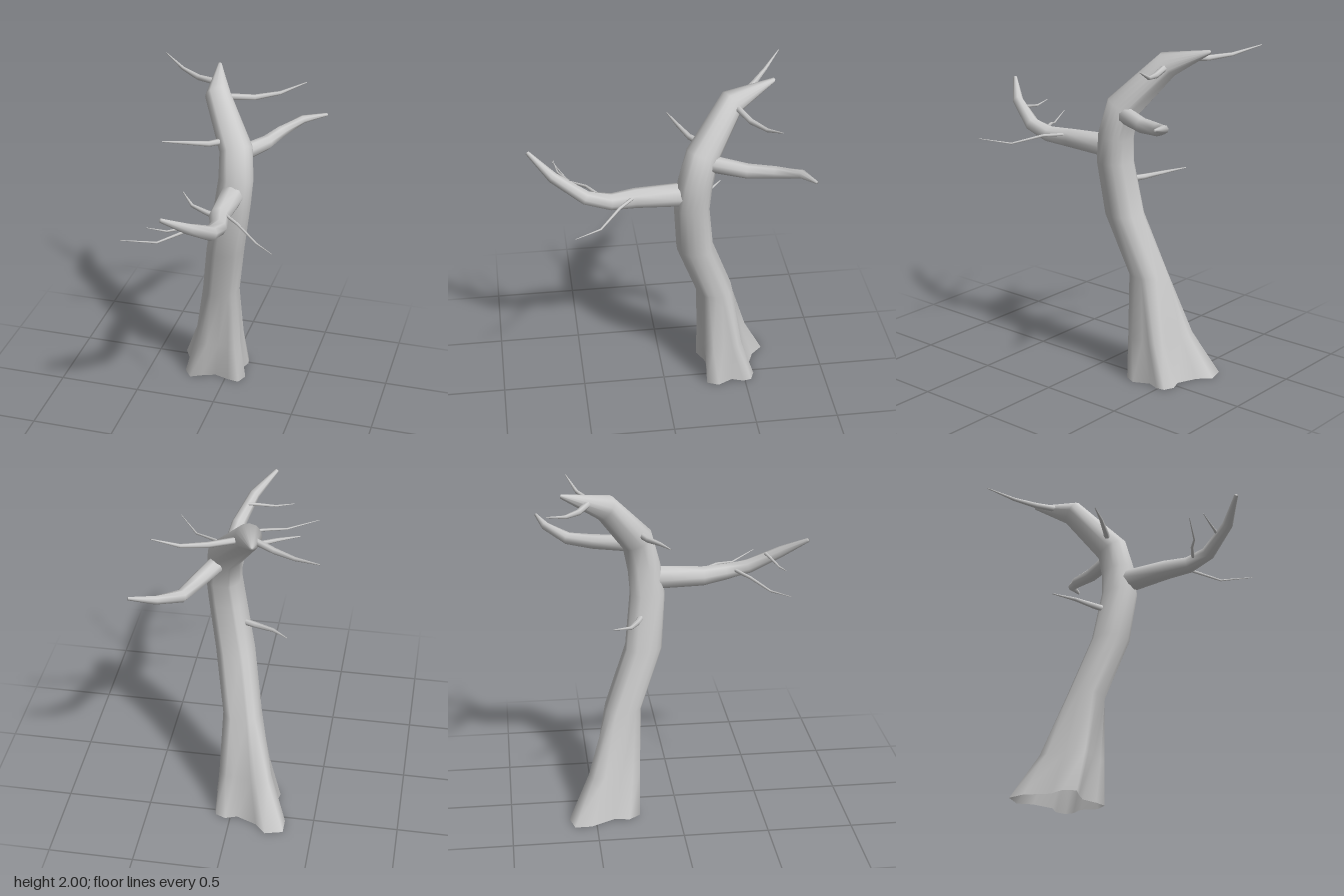
import * as THREE from 'three';

const bark = new THREE.MeshStandardMaterial({ color: 0xcccccc, side: THREE.DoubleSide });
const V = (x, y, z) => new THREE.Vector3(x, y, z);
const UP = V(0, 1, 0);

// Skin a list of rings (equal point counts) into one smooth open surface.
function loft(rings, name) {
  const n = rings[0].length, index = [];
  for (let j = 0; j < rings.length - 1; j++) {
    for (let i = 0; i < n; i++) {
      const a = j * n + i, b = j * n + (i + 1) % n;
      index.push(a, a + n, b, b, a + n, b + n);
    }
  }
  const geometry = new THREE.BufferGeometry().setFromPoints(rings.flat());
  geometry.setIndex(index);
  geometry.computeVertexNormals();
  const mesh = new THREE.Mesh(geometry, bark);
  mesh.name = name;
  return mesh;
}

// Rings across a path of [x, y, z, radius]; those from index tiltFrom on lean with the path.
function ringsAlong(path, angles, tiltFrom = 0) {
  const points = path.map(([x, y, z]) => V(x, y, z));
  const last = points.length - 1;
  return points.map((p, k) => {
    const before = points[Math.max(k - 1, 0)], after = points[Math.min(k + 1, last)];
    const dirIn = p.clone().sub(before).normalize(), dirOut = after.clone().sub(p).normalize();
    const tangent = k < tiltFrom ? UP : dirIn.add(dirOut).normalize();
    const q = new THREE.Quaternion().setFromUnitVectors(UP, tangent);
    const r = path[k][3];
    return angles.map(t => V(Math.cos(t) * r, 0, Math.sin(t) * r).applyQuaternion(q).add(p));
  });
}

function branch(name, path, sides) {
  const angles = Array.from({ length: sides }, (_, i) => i / sides * Math.PI * 2);
  const rings = ringsAlong(path, angles);
  const [x, y, z] = path[path.length - 1];
  rings.push(angles.map(() => V(x, y, z))); // closed tip
  return loft(rings, name);
}

function trunk() {
  // Foot outline on the ground (x, z) with four root lobes
  const foot = [
    [0.075, -0.42], [0.12, -0.33], [0.09, -0.26], [0.02, -0.27], [-0.07, -0.3], [-0.15, -0.27],
    [-0.22, -0.235], [-0.27, -0.3], [-0.255, -0.39], [-0.33, -0.53], [-0.33, -0.63], [-0.225, -0.658],
    [-0.16, -0.59], [-0.04, -0.54], [0.03, -0.565], [0.09, -0.54], [0.1, -0.49],
  ];
  const angles = foot.map(([x, z]) => Math.atan2(z + 0.43, x + 0.1));
  const stem = ringsAlong([
    [-0.037, 0.64, -0.315, 0.114],
    [0.025, 1.0, -0.183, 0.114],
    [0.075, 1.32, -0.153, 0.108],
    [0.09, 1.48, -0.17, 0.103],
    [0.078, 1.65, -0.21, 0.098],
    [-0.085, 1.895, -0.4, 0.076],
    [-0.143, 1.987, -0.65, 0.012],
    [-0.143, 1.988, -0.655, 0],
  ], angles, 3);
  const ground = foot.map(([x, z]) => V(x, 0, z));
  const flare = ground.map((p, i) => p.clone().lerp(stem[0][i], 0.52).setY(0.26));
  return loft([ground, flare, ...stem], 'trunk');
}

export function createModel() {
  const tree = new THREE.Group();
  tree.name = 'bareTree';
  tree.add(trunk());

  // Heavy limbs
  tree.add(branch('frontLimb', [
    [0.085, 1.405, -0.12, 0.072], [0.085, 1.402, 0.18, 0.058], [0.12, 1.41, 0.32, 0.049],
    [0.113, 1.443, 0.46, 0.043], [0.045, 1.55, 0.64, 0.032], [-0.072, 1.653, 0.772, 0.012],
  ], 8));
  tree.add(branch('backLimb', [
    [0.11, 1.615, -0.24, 0.05], [0.2, 1.602, -0.45, 0.043], [0.25, 1.612, -0.6, 0.036],
    [0.36, 1.657, -0.725, 0.025], [0.5, 1.685, -0.775, 0.009],
  ], 8));

  // Thin branches growing from the trunk
  const branchRadii = [0.02, 0.017, 0.011, 0.003];
  const branches = {
    lowBranch: [[0.0, 1.2, -0.19], [-0.1, 1.2, -0.225], [-0.21, 1.21, -0.275], [-0.3, 1.24, -0.38]],
    middleBranch: [[0.01, 1.7, -0.2], [-0.07, 1.69, -0.155], [-0.2, 1.705, -0.1], [-0.325, 1.715, -0.057]],
    topRightBranch: [[-0.1, 1.94, -0.48], [-0.25, 1.925, -0.56], [-0.37, 1.938, -0.64], [-0.51, 1.985, -0.745]],
    topLeftBranch: [[-0.05, 1.885, -0.41], [0.12, 1.873, -0.475], [0.26, 1.892, -0.54], [0.405, 1.953, -0.595]],
  };
  // Twigs growing from the front limb
  const twigRadii = [0.011, 0.009, 0.006, 0.002];
  const twigs = {
    leftTwig: [[0.1, 1.43, 0.17], [0.22, 1.425, 0.28], [0.36, 1.385, 0.4], [0.485, 1.415, 0.55]],
    rightTwig: [[0.1, 1.43, 0.365], [-0.04, 1.423, 0.445], [-0.17, 1.385, 0.54], [-0.355, 1.415, 0.623]],
    outerTwig: [[0.07, 1.53, 0.55], [0.01, 1.52, 0.572], [-0.09, 1.5, 0.605], [-0.2, 1.515, 0.623]],
  };
  for (const [set, radii] of [[branches, branchRadii], [twigs, twigRadii]]) {
    for (const [name, points] of Object.entries(set)) {
      tree.add(branch(name, points.map((p, i) => [...p, radii[i]]), 6));
    }
  }
  return tree;
}
